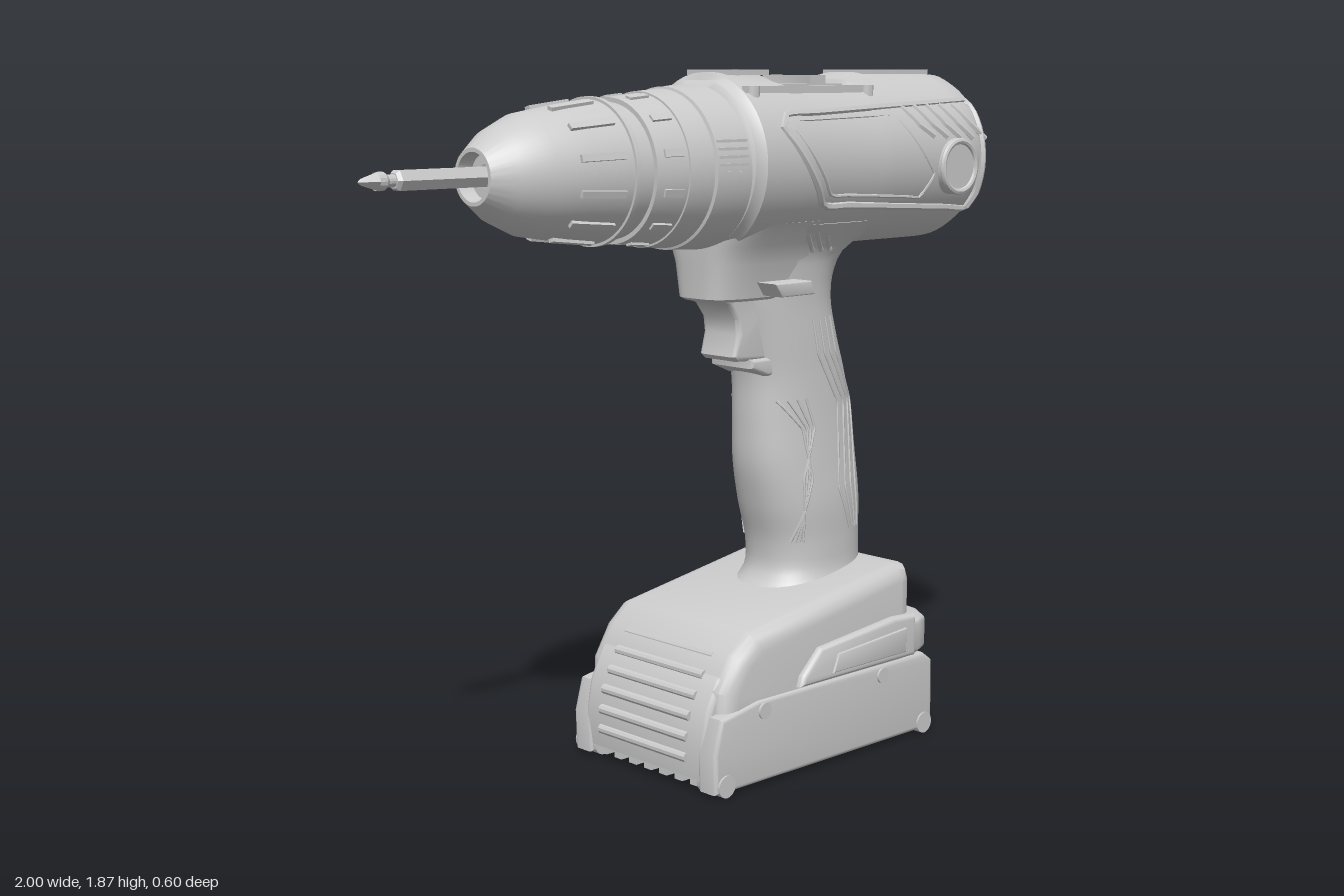
import * as THREE from 'three';
import { toCreasedNormals } from 'three/addons/utils/BufferGeometryUtils.js';

const MAT = new THREE.MeshStandardMaterial({ color: 0xcccccc, side: THREE.DoubleSide });
const AXIS_Y = 1.62; // height of the spindle axis

export function createModel() {
  const root = new THREE.Group();

  const add = (name, geo, crease = 0.6) => {
    const mesh = new THREE.Mesh(toCreasedNormals(geo, crease), MAT);
    mesh.name = name;
    root.add(mesh);
    return mesh;
  };

  // Side outline extruded from z0 to z1 with rounded edges
  const slab = (name, pts, z0, z1, b = 0.01) => {
    const shape = new THREE.Shape(pts.map(p => new THREE.Vector2(...p)));
    const geo = new THREE.ExtrudeGeometry(shape, {
      depth: z1 - z0 - 2 * b, bevelThickness: b, bevelSize: b, bevelOffset: -b, bevelSegments: 4,
    });
    return add(name, geo.translate(0, 0, z0 + b));
  };

  const box = (name, size, pos) => add(name, new THREE.BoxGeometry(...size).translate(...pos));

  // Cylinder lying along z
  const pin = (name, x, y, z0, z1, r, sides = 24) => add(name,
    new THREE.CylinderGeometry(r, r, z1 - z0, sides).rotateX(Math.PI / 2).translate(x, y, (z0 + z1) / 2));

  // Body turned about the spindle axis, profile given as [x, radius]
  const turned = (name, profile, sides = 64) => add(name,
    new THREE.LatheGeometry(profile.map(([x, r]) => new THREE.Vector2(r, x)), sides)
      .rotateZ(-Math.PI / 2).translate(0, AXIS_Y - 0.005, 0), 0.35);

  // Capped skin through closed rings of points
  const loft = (name, rings) => {
    const n = rings[0].length, idx = [];
    const pts = rings.flat();
    rings.forEach((ring, i) => {
      for (let j = 0; j < n && i < rings.length - 1; j++) {
        const a = i * n + j, b = i * n + (j + 1) % n;
        idx.push(a, a + n, b, b, a + n, b + n);
      }
    });
    [0, rings.length - 1].forEach((i, end) => {
      const c = rings[i].reduce((s, p) => s.add(p), new THREE.Vector3()).divideScalar(n);
      pts.push(c);
      for (let j = 0; j < n; j++) {
        const a = i * n + j, b = i * n + (j + 1) % n;
        idx.push(pts.length - 1, end ? b : a, end ? a : b);
      }
    });
    const geo = new THREE.BufferGeometry().setFromPoints(pts);
    geo.setIndex(idx);
    return add(name, geo);
  };

  // Thin raised line laid on a side surface z = depth(x, y), on both sides
  const ridge = (name, pts, depth, r) => {
    for (const s of [1, -1]) {
      const path = [];
      for (let i = 0; i < pts.length - 1; i++) {
        for (let k = 0; k < 6; k++) {
          const x = THREE.MathUtils.lerp(pts[i][0], pts[i + 1][0], k / 6);
          const y = THREE.MathUtils.lerp(pts[i][1], pts[i + 1][1], k / 6);
          path.push(new THREE.Vector3(x, y, s * depth(x, y)));
        }
      }
      const [x, y] = pts[pts.length - 1];
      path.push(new THREE.Vector3(x, y, s * depth(x, y)));
      add(name, new THREE.TubeGeometry(new THREE.CatmullRomCurve3(path), path.length * 2, r, 6), 1);
    }
  };

  // Bit
  turned('bitShank', [[-0.9, 0], [-0.9, 0.02], [-0.89, 0.027], [-0.6, 0.027]], 6);
  turned('bitNeck', [[-0.95, 0.022], [-0.93, 0.022], [-0.92, 0.015], [-0.88, 0.015]], 16);
  turned('bitTip', [[-1, 0], [-0.99, 0.008], [-0.94, 0.023], [-0.93, 0.018]], 4);

  // Chuck, clutch ring and gear collar
  turned('chuck', [[-0.63, 0.03], [-0.63, 0.055], [-0.67, 0.06], [-0.67, 0.07], [-0.61, 0.115], [-0.53, 0.15],
    [-0.42, 0.167], [-0.31, 0.18], [-0.31, 0.187], [-0.295, 0.187], [-0.295, 0.172], [-0.2, 0.172]]);
  turned('clutchRing', [[-0.24, 0.16], [-0.24, 0.184], [-0.14, 0.193], [-0.14, 0.198], [-0.062, 0.204], [-0.062, 0.19]]);
  turned('gearCollar', [[-0.06, 0.19], [-0.055, 0.209], [0.07, 0.215], [0.07, 0.1]]);
  for (let i = 0; i < 12; i++) {
    const a = (i + 0.5) / 12 * Math.PI * 2;
    const around = (name, size, x, r, tilt = 0) => add(name, new THREE.BoxGeometry(...size)
      .rotateZ(tilt).translate(x, r, 0).rotateX(a).translate(0, AXIS_Y - 0.005, 0));
    around('chuckRib', [0.13, 0.012, 0.018], -0.4, 0.171, 0.115);
    around('clutchRib', [0.06, 0.01, 0.02], -0.185, 0.19, 0.09);
  }
  for (let i = 0; i < 5; i++) {
    for (const s of [1, -1]) box('collarTooth', [0.1, 0.007, 0.012], [0, AXIS_Y + 0.02 * i - 0.01, s * (0.211 - 0.003 * i)]);
  }

  // Motor housing: round sections with a cropped top, as [x, radius, top]
  const housing = [[0.05, 0.2, 1.82], [0.065, 0.222, 1.835], [0.085, 0.228, 1.84], [0.095, 0.236, 1.86],
    [0.24, 0.236, 1.86], [0.28, 0.234, 1.825], [0.53, 0.234, 1.825], [0.54, 0.235, 1.84], [0.6, 0.236, 1.86],
    [0.9, 0.236, 1.858], [0.955, 0.235, 1.85], [0.98, 0.225, 1.84], [0.995, 0.2, 1.82], [1.0, 0.18, 1.8]];
  loft('motorHousing', housing.map(([x, r, top]) => Array.from({ length: 72 }, (_, j) => {
    const a = j / 72 * Math.PI * 2;
    const y = Math.min(AXIS_Y + 0.004 + r * Math.sin(a), top);
    const lean = x > 0.9 ? 0.07 * Math.max(0, 1.72 - y) : 0;
    return new THREE.Vector3(x - lean, y, r * Math.cos(a));
  })));
  const bodyZ = (x, y) => Math.sqrt(Math.max(0, 0.234 ** 2 - (y - AXIS_Y) ** 2));

  // Side panel frame, slanted vents and round caps
  ridge('panelFrame', [[0.95, 1.78], [0.2, 1.75], [0.17, 1.72], [0.33, 1.515], [0.95, 1.48], [0.965, 1.52], [0.965, 1.76], [0.95, 1.78]], bodyZ, 0.011);
  ridge('panelInset', [[0.62, 1.745], [0.2, 1.735], [0.35, 1.54], [0.72, 1.52], [0.76, 1.58], [0.62, 1.745]], bodyZ, 0.005);
  for (let i = 0; i < 5; i++) {
    const x = 0.66 + 0.055 * i;
    ridge('sideVent', [[x, 1.768], [x + 0.05, 1.715], [x + 0.1, 1.685 - 0.003 * i]], bodyZ, 0.01);
  }
  for (const s of [1, -1]) {
    pin('sideCap', 0.85, 1.6, s > 0 ? 0.15 : -0.246, s > 0 ? 0.246 : -0.15, 0.078, 40);
    add('sideCapRim', new THREE.TorusGeometry(0.07, 0.009, 8, 40).translate(0.85, 1.6, s * 0.245));
    box('topRail', [0.48, 0.02, 0.014], [0.34, 1.815, s * 0.142]);
    for (const x of [0.13, 0.57]) {
      add('railStud', new THREE.CylinderGeometry(0.02, 0.02, 0.05, 16).translate(x, 1.8, s * 0.142));
    }
  }

  // Top details: front ribs, speed selector, rear ribs
  for (let i = 0; i < 4; i++) box('topRib', [0.012, 0.014, 0.19], [0.13 + i * 0.035, 1.859, 0]);
  box('selectorPlate', [0.23, 0.012, 0.2], [0.405, 1.823, 0]);
  const bow = new THREE.Shape([[-0.03, -0.09], [0.03, -0.09], [0.012, 0], [0.03, 0.09], [-0.03, 0.09], [-0.012, 0]]
    .map(p => new THREE.Vector2(...p)));
  add('speedSelector', new THREE.ExtrudeGeometry(bow, { depth: 0.035, bevelEnabled: false })
    .rotateX(-Math.PI / 2).translate(0.435, 1.817, 0));
  for (let i = 0; i < 3; i++) box('rearTopRib', [0.05, 0.012, 0.19], [0.68 + i * 0.09, 1.86, 0]);

  // Rear grille bars
  [[1.56, 0.15], [1.63, 0.17], [1.7, 0.17], [1.75, 0.11]].forEach(([y, w]) => {
    box('rearGrille', [0.02, 0.024, 2 * w], [0.993 - 0.07 * Math.max(0, 1.72 - y), y, 0]);
  });

  // Grip: rounded sections up the handle, as [y, front x, back x, half width]
  const grip = [[0.42, 0.25, 0.66, 0.17], [0.48, 0.31, 0.657, 0.14], [0.56, 0.317, 0.655, 0.135], [0.68, 0.285, 0.655, 0.138],
    [0.8, 0.257, 0.645, 0.13], [0.92, 0.25, 0.63, 0.122], [1.04, 0.245, 0.6, 0.117], [1.15, 0.22, 0.565, 0.115],
    [1.25, 0.19, 0.545, 0.113], [1.33, 0.17, 0.56, 0.117], [1.38, 0.15, 0.6, 0.125], [1.415, 0.13, 0.67, 0.145], [1.46, 0.1, 0.76, 0.18]];
  const spline = new THREE.CubicInterpolant(grip.map(r => r[0]), grip.flatMap(r => r.slice(1)), 3);
  const gripAt = y => Array.from(spline.evaluate(y));
  const oval = (x0, x1, w, y, e) => Array.from({ length: 48 }, (_, j) => {
    const c = Math.cos(j / 48 * Math.PI * 2), s = Math.sin(j / 48 * Math.PI * 2);
    return new THREE.Vector3((x0 + x1) / 2 + (x1 - x0) / 2 * Math.sign(c) * Math.abs(c) ** e, y, w * Math.sign(s) * Math.abs(s) ** e);
  });
  loft('grip', Array.from({ length: 49 }, (_, i) => {
    const y = 0.42 + i / 48 * 1.04;
    return oval(...gripAt(y), y, 0.85);
  }));
  const gripZ = (x, y) => {
    const [x0, x1, w] = gripAt(y);
    const u = Math.min(1, Math.abs((2 * x - x0 - x1) / (x1 - x0)));
    return w * (1 - u ** (2 / 0.85)) ** (0.85 / 2);
  };
  for (let i = 0; i < 4; i++) {
    const d = i * 0.028;
    ridge('gripContour', [[0.29 + d, 0.98], [0.36 + d / 2, 0.9], [0.39 - d / 3, 0.76], [0.345 + d / 3, 0.58]], gripZ, 0.004);
    ridge('gripContour', [[0.4 + d, 1.2], [0.42 + d, 1.1], [0.5 + d, 0.96], [0.49 + d, 0.72], [0.54 + d / 2, 0.6]], gripZ, 0.004);
  }
  for (const [x, y] of [[0.5, 1.22], [0.5, 0.8], [0.2, 1.36]]) pin('gripScrew', x, y, -gripZ(x, y) - 0.004, -0.05, 0.022);

  // Trigger housing, trigger and direction switch
  loft('triggerHousing', [[1.262, 0.075, 0.095], [1.27, 0.06, 0.105], [1.36, 0.055, 0.12], [1.41, 0.05, 0.14], [1.47, 0.05, 0.18]]
    .map(([y, x0, w]) => oval(x0, 0.48, w, y, 0.55)));
  slab('trigger', [[0.08, 1.27], [0.125, 1.25], [0.155, 1.21], [0.16, 1.17], [0.145, 1.11], [0.16, 1.097], [0.3, 1.09], [0.3, 1.27]], -0.07, 0.07, 0.015);
  slab('triggerGuard', [[0.2, 1.1], [0.2, 1.075], [0.26, 1.05], [0.35, 1.05], [0.35, 1.1]], -0.08, 0.08, 0.01);
  slab('directionSwitch', [[0.215, 1.275], [0.34, 1.275], [0.325, 1.312], [0.185, 1.312]], -0.135, 0.178, 0.005);
  for (let i = 0; i < 3; i++) {
    const x = 0.33 + i * 0.035;
    ridge('neckVent', [[x, 1.435], [x + 0.05, 1.385]], (a, b) => Math.max(gripZ(a, b), 0.128), 0.007);
  }

  // Foot of the handle
  slab('foot', [[-0.09, 0.15], [-0.085, 0.27], [-0.03, 0.36], [0.03, 0.41], [0.3, 0.455], [0.6, 0.505], [0.645, 0.5], [0.66, 0.46], [0.66, 0.15]], -0.272, 0.272, 0.05);
  for (const s of [1, -1]) {
    const span = (a, b) => (s > 0 ? [a, b] : [-b, -a]);
    slab('footSidePanel', [[0.18, 0.24], [0.19, 0.27], [0.26, 0.335], [0.56, 0.365], [0.65, 0.36], [0.65, 0.24]], ...span(0.2, 0.293), 0.015);
    slab('footInset', [[0.3, 0.26], [0.32, 0.31], [0.6, 0.33], [0.6, 0.26]], ...span(0.25, 0.299), 0.004);

    // Latch lobe drawn in plan and raised
    const lobe = new THREE.Shape([[0.58, 0.292], [0.66, 0.292], [0.71, 0.27], [0.75, 0.21], [0.76, 0.16], [0.745, 0.12], [0.69, 0.06], [0.6, 0.05]]
      .map(([x, z]) => new THREE.Vector2(x, s * z)));
    add('latchLobe', new THREE.ExtrudeGeometry(lobe, { depth: 0.07, bevelThickness: 0.015, bevelSize: 0.015, bevelOffset: -0.015 })
      .rotateX(Math.PI / 2).translate(0, 0.33, 0));

    // Battery side skirt, screws and corner bosses
    slab('batterySkirt', [[-0.125, 0.01], [-0.13, 0.12], [-0.105, 0.21], [0.03, 0.235], [0.7, 0.235], [0.735, 0.21], [0.74, 0.04], [0.71, 0.01]], ...span(0.21, 0.28), 0.012);
    for (const x of [0.05, 0.52]) pin('batteryScrew', x, 0.205, ...span(0.2, 0.286), 0.022);
    for (const x of [-0.09, 0.7]) pin('cornerBoss', x, 0.03, ...span(0.2, 0.285), 0.03);
  }
  add('latchBar', new THREE.CylinderGeometry(0.028, 0.028, 0.2, 16).rotateX(Math.PI / 2).translate(0.69, 0.29, 0));

  // Battery pack with front louvres and a slatted underside
  slab('battery', [[-0.12, 0.035], [-0.13, 0.12], [-0.11, 0.22], [-0.07, 0.3], [0.02, 0.38], [0.1, 0.235], [0.715, 0.235], [0.735, 0.2], [0.735, 0.035]], -0.235, 0.235, 0.015);
  [[-0.125, 0.09], [-0.123, 0.145], [-0.113, 0.2], [-0.09, 0.25], [-0.062, 0.3], [-0.025, 0.345]]
    .forEach(([x, y]) => pin('frontLouvre', x, y, -0.17, 0.17, 0.014, 10));
  box('batteryBackPlate', [0.02, 0.12, 0.4], [0.735, 0.12, 0]);
  for (let i = -3; i <= 3; i++) box('bottomSlat', [0.83, 0.035, 0.03], [0.305, 0.03, i * 0.06]);
  for (let i = 0; i < 4; i++) box('bottomCrossbar', [0.05, 0.03, 0.44], [0.02 + i * 0.19, 0.027, 0]);

  return root;
}
